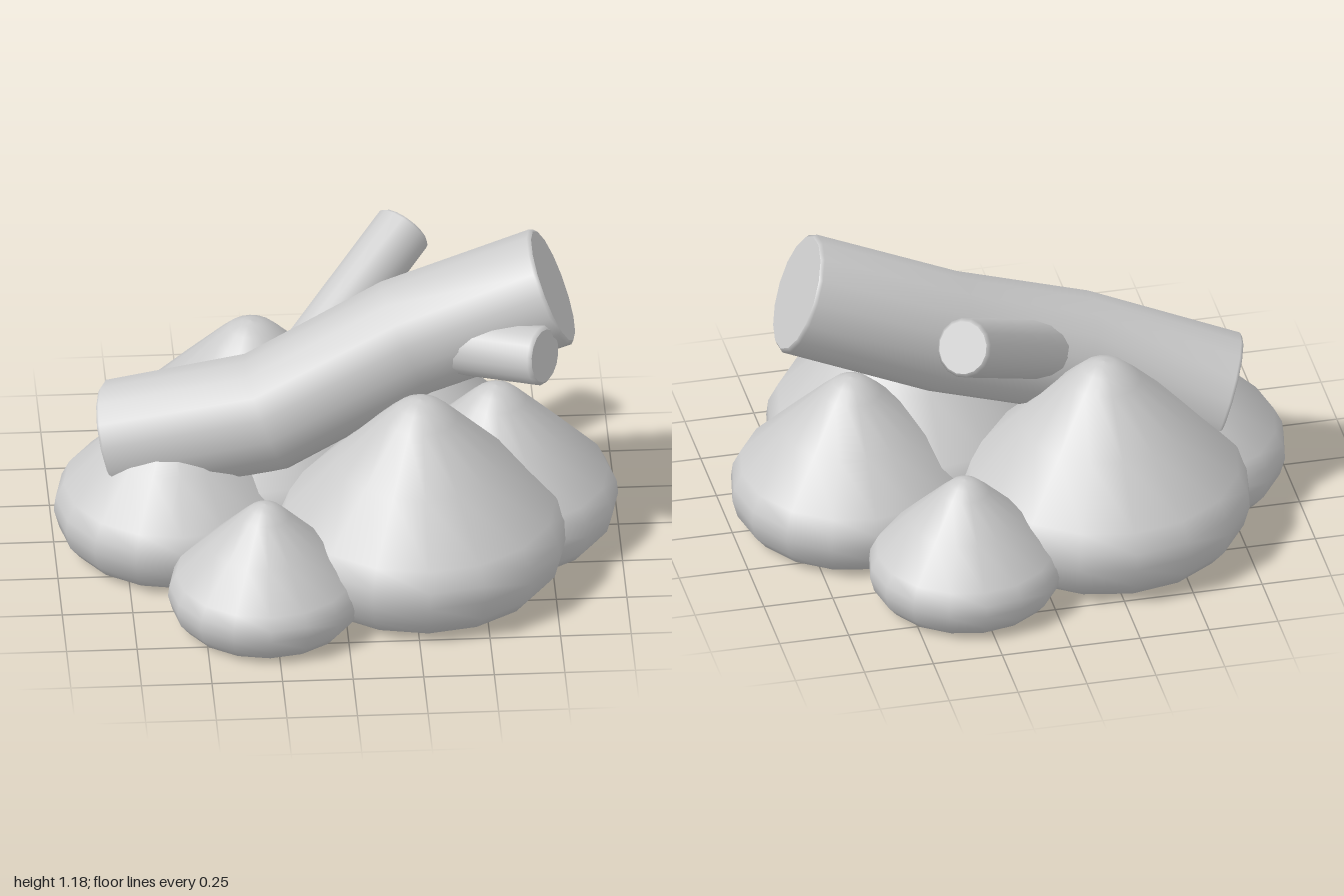
import * as THREE from 'three';

const SIDES = 16;
const material = new THREE.MeshStandardMaterial({ color: 0xcccccc });

// Round limb along a bent path: mitred rings with softly bevelled flat ends
function limbGeometry(points, radius) {
  const path = points.map((p) => new THREE.Vector3(...p));
  const last = path.length - 1;
  const bevel = 0.012;
  const dir = (i) => path[i + 1].clone().sub(path[i]).normalize();
  const rings = path.map((c, i) => {
    const t = new THREE.Vector3();
    if (i > 0) t.add(dir(i - 1));
    if (i < last) t.add(dir(i));
    return { c, t: t.normalize(), r: radius };
  });
  const first = rings[0], end = rings[last];
  const shifted = (ring, d, r) => ({ c: ring.c.clone().addScaledVector(ring.t, d), t: ring.t, r });
  const body = [
    shifted(first, 0, radius - bevel), shifted(first, bevel, radius),
    ...rings.slice(1, last),
    shifted(end, -bevel, radius), shifted(end, 0, radius - bevel),
  ];
  const pos = [], index = [];
  const addRing = ({ c, t, r }) => {
    const side = new THREE.Vector3().crossVectors(t, new THREE.Vector3(0, 1, 0)).normalize();
    const up = new THREE.Vector3().crossVectors(side, t);
    for (let j = 0; j < SIDES; j++) {
      const a = (j / SIDES) * Math.PI * 2;
      const v = c.clone().addScaledVector(side, Math.cos(a) * r).addScaledVector(up, Math.sin(a) * r);
      pos.push(v.x, v.y, v.z);
    }
  };
  body.forEach(addRing);
  for (let i = 0; i < body.length - 1; i++) {
    for (let j = 0; j < SIDES; j++) {
      const k = (j + 1) % SIDES;
      const a = i * SIDES + j, b = i * SIDES + k;
      index.push(a, a + SIDES, b, b, a + SIDES, b + SIDES);
    }
  }
  // End caps on their own vertices so they stay flat
  [[body[0], true], [body[body.length - 1], false]].forEach(([ring, isStart]) => {
    const base = pos.length / 3;
    addRing(ring);
    pos.push(ring.c.x, ring.c.y, ring.c.z);
    for (let j = 0; j < SIDES; j++) {
      const a = base + j, b = base + (j + 1) % SIDES;
      index.push(base + SIDES, isStart ? a : b, isStart ? b : a);
    }
  });
  const geo = new THREE.BufferGeometry();
  geo.setAttribute('position', new THREE.Float32BufferAttribute(pos, 3));
  geo.setIndex(index);
  geo.computeVertexNormals();
  return geo;
}

// Rounded cone-shaped mound, shared by all stones at different scales
const moundProfile = [
  [0, 0], [0.38, 0], [0.45, 0.02], [0.5, 0.08], [0.522, 0.16], [0.515, 0.22], [0.48, 0.29],
  [0.3, 0.475], [0.13, 0.645], [0.08, 0.69], [0.035, 0.71], [0, 0.715],
].map(([x, y]) => new THREE.Vector2(x, y));

export function createModel() {
  const model = new THREE.Group();
  const add = (name, geometry) => {
    const mesh = new THREE.Mesh(geometry, material);
    mesh.name = name;
    model.add(mesh);
    return mesh;
  };

  // Ring of stones, in pairs opposite each other
  const moundGeometry = new THREE.LatheGeometry(moundProfile, SIDES);
  const stones = [['largeStone', 0.283, 0.288, 1], ['mediumStone', 0.568, 0, 0.827], ['smallStone', -0.285, 0.565, 0.66]];
  for (const [name, x, z, scale] of stones) {
    for (const s of [1, -1]) {
      const stone = add(name + (s > 0 ? 'A' : 'B'), moundGeometry);
      stone.position.set(s * x, 0, s * z);
      stone.scale.setScalar(scale);
    }
  }

  // Crooked log resting across the stones, with a branch at each bend
  const lowEnd = [-0.775, 0.375, -0.06], lowBend = [-0.25, 0.55, 0.06];
  const highBend = [0.25, 0.77, -0.05], highEnd = [0.77, 0.983, -0.017];
  add('log', limbGeometry([lowEnd, lowBend, highBend, highEnd], 0.218));
  add('frontBranch', limbGeometry([highBend, [0.725, 0.855, 0.248]], 0.107));
  add('backBranch', limbGeometry([lowBend, [0.273, 0.967, -0.477]], 0.106));

  return model;
}
